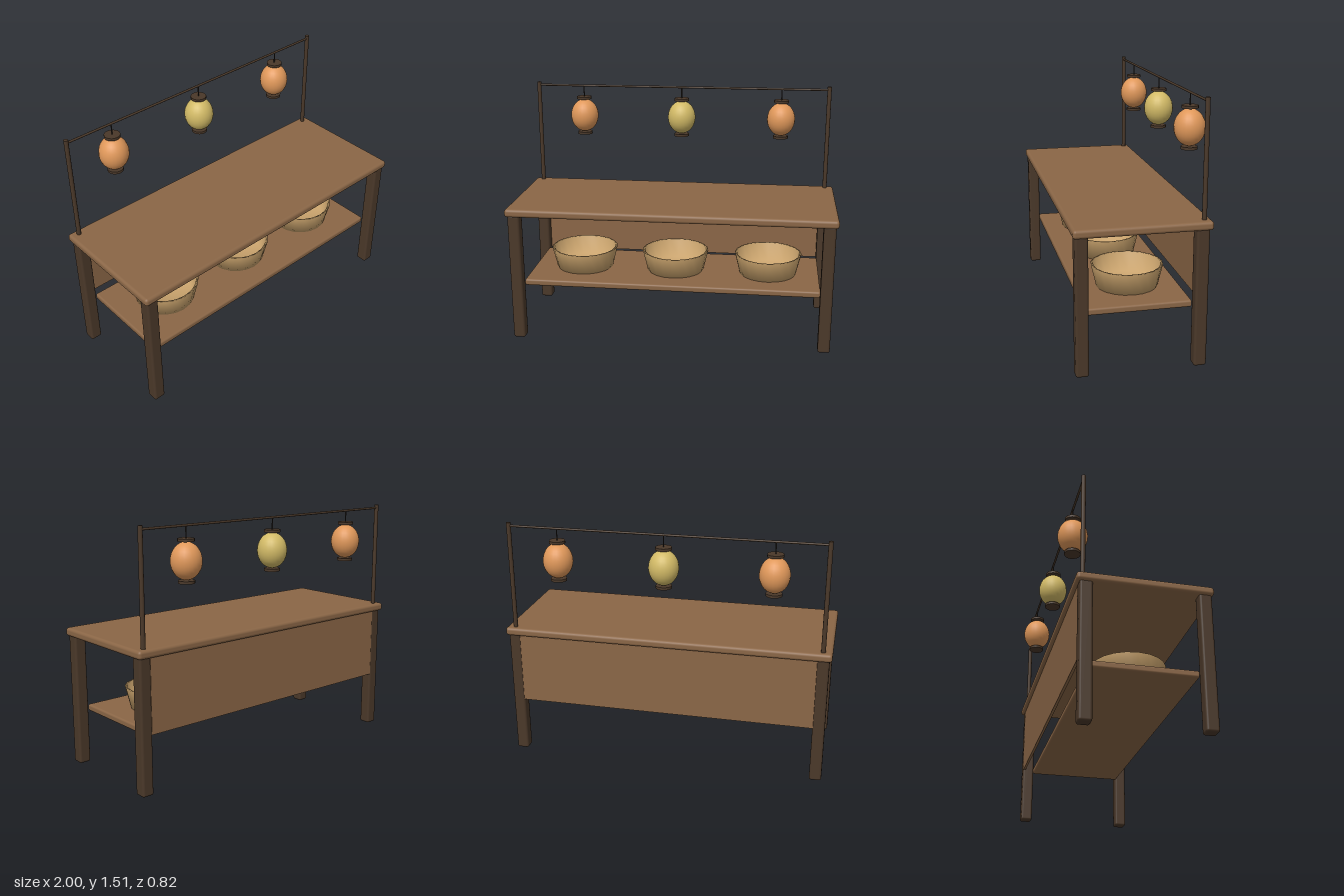
import * as THREE from 'three';
import { RoundedBoxGeometry } from 'three/addons/geometries/RoundedBoxGeometry.js';

const mat = (name, color, side = THREE.FrontSide) => {
  const m = new THREE.MeshStandardMaterial({ color, side });
  m.name = name;
  return m;
};

export function createModel() {
  const wood = mat('brown wood', 0x8a6646);
  const darkWood = mat('dark wood', 0x4a3829);
  const clay = mat('tan clay', 0xc8a26c);
  const orange = mat('orange paper', 0xe0985a);
  const yellow = mat('yellow paper', 0xd2ba66);
  const cord = mat('dark cord', 0x2a2420);

  const model = new THREE.Group();
  model.name = 'marketStall';

  const add = (name, geometry, material, x, y, z, parent = model) => {
    const mesh = new THREE.Mesh(geometry, material);
    mesh.name = name;
    mesh.position.set(x, y, z);
    parent.add(mesh);
    return mesh;
  };
  const rounded = (w, h, d, r) => new RoundedBoxGeometry(w, h, d, 3, r);
  const rod = (r, h, sides = 12) => new THREE.CylinderGeometry(r, r, h, sides);

  // Table: top, lower shelf and back panel
  add('tableTop', rounded(2, 0.05, 0.77, 0.018), wood, 0, 0.821, 0.024);
  add('shelf', rounded(1.83, 0.04, 0.604, 0.012), wood, 0, 0.349, 0.028);
  add('backPanel', new THREE.BoxGeometry(1.83, 0.445, 0.016), wood, 0, 0.578, -0.333);

  // Legs and the posts standing on the rear corners
  const legGeometry = rounded(0.074, 0.805, 0.074, 0.014);
  for (const side of [-1, 1]) {
    const name = side > 0 ? 'left' : 'right';
    add(name + 'FrontLeg', legGeometry, darkWood, side * 0.948, 0.4025, 0.361);
    add(name + 'BackLeg', legGeometry, darkWood, side * 0.948, 0.4025, -0.306);
    add(name + 'Post', rod(0.0135, 0.678), darkWood, side * 0.945, 1.169, -0.319);
  }

  // Rail between the posts
  add('rail', rod(0.007, 1.89), darkWood, 0, 1.488, -0.319).rotation.z = Math.PI / 2;

  // Bowls on the shelf
  const bowlProfile = [
    [0, 0], [0.18, 0], [0.211, 0.13], [0.197, 0.13], [0.168, 0.018], [0, 0.018],
  ].map(([r, y]) => new THREE.Vector2(r, y));
  const bowlGeometry = new THREE.LatheGeometry(bowlProfile, 20);
  for (const x of [-0.592, 0, 0.592]) add('bowl', bowlGeometry, clay, x, 0.368, 0.024);

  // Hanging lanterns with end caps and cords
  const bodyGeometry = new THREE.SphereGeometry(0.09, 24, 16).scale(1, 1.18, 1);
  const capGeometry = rod(0.048, 0.016, 20);
  for (const x of [-0.645, 0, 0.645]) {
    const lantern = new THREE.Group();
    lantern.name = 'lantern';
    lantern.position.set(x, 1.293, -0.319);
    add('lanternBody', bodyGeometry, x === 0 ? yellow : orange, 0, 0, 0, lantern);
    add('topCap', capGeometry, darkWood, 0, 0.116, 0, lantern);
    add('bottomCap', capGeometry, darkWood, 0, -0.116, 0, lantern);
    add('lanternCord', rod(0.0035, 0.078, 8), cord, 0, 0.158, 0, lantern);
    model.add(lantern);
  }

  return model;
}
